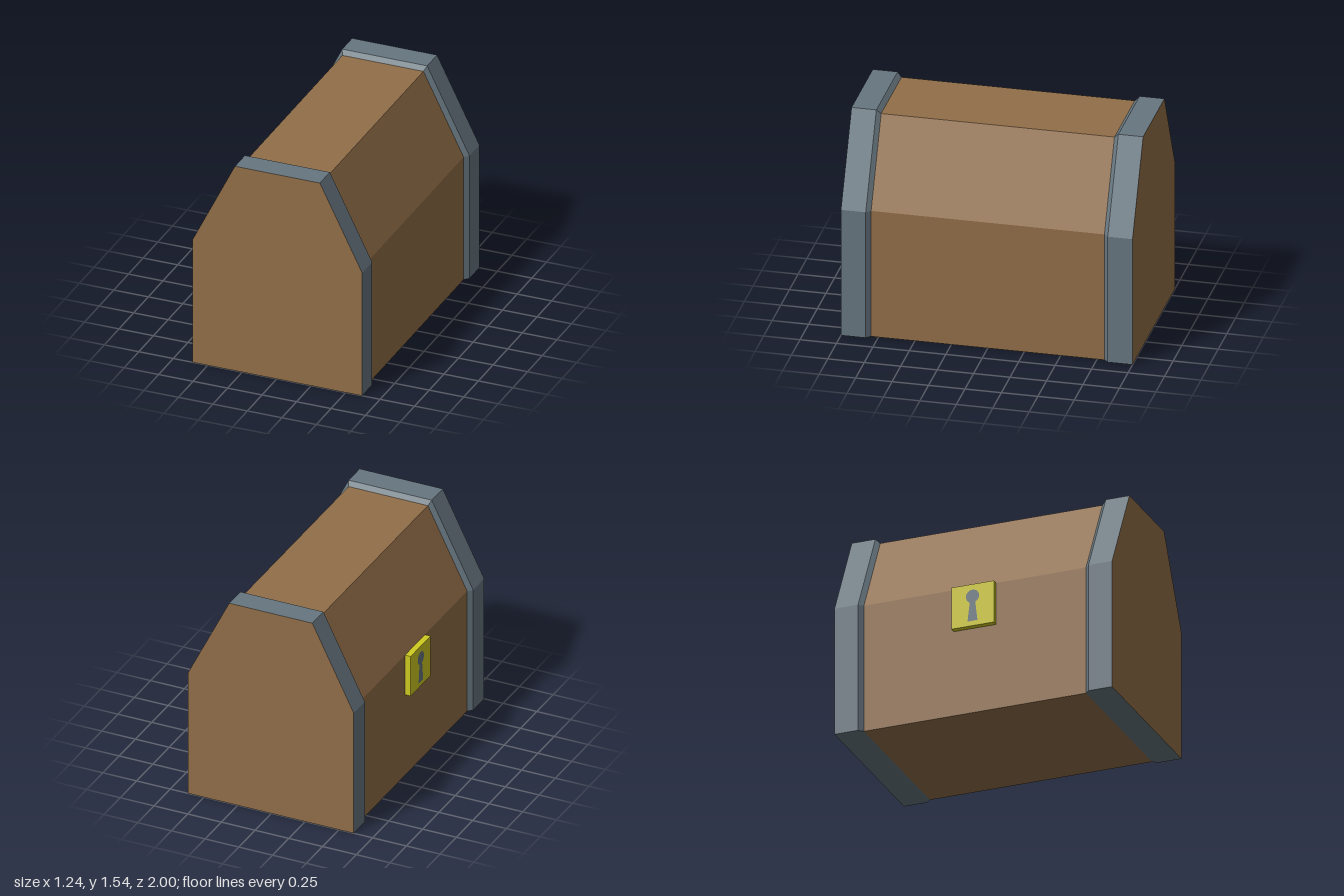
import * as THREE from 'three';

const material = (name, color) => Object.assign(new THREE.MeshStandardMaterial({ color }), { name });

// Chest profiles, counter-clockwise seen from the front
const CX = 0.005;
const profile = (half, topHalf, top) => [
  [CX - half, 0], [CX + half, 0], [CX + half, 0.925],
  [CX + topHalf, top], [CX - topHalf, top], [CX - half, 0.925],
];
const OUTER = profile(0.615, 0.308, 1.54);
const INNER = profile(0.585, 0.294, 1.51);

// Joins [profile, z] sections, given from back to front, with flat faces
function loft(sections) {
  const pos = [];
  for (let s = 0; s < sections.length - 1; s++) {
    const [p, z0] = sections[s], [q, z1] = sections[s + 1];
    for (let i = 0; i < p.length; i++) {
      const j = (i + 1) % p.length;
      const a = [...p[i], z0], b = [...p[j], z0], c = [...q[j], z1], d = [...q[i], z1];
      pos.push(...a, ...b, ...c, ...a, ...c, ...d);
    }
  }
  const geo = new THREE.BufferGeometry();
  geo.setAttribute('position', new THREE.Float32BufferAttribute(pos, 3));
  geo.computeVertexNormals();
  return geo;
}

export function createModel() {
  const wood = material('wood', 0x916e48);
  const iron = material('iron', 0x67767f);
  const brass = material('brass', 0xcfca20);
  const model = new THREE.Group();
  model.name = 'chest';
  const add = (name, geo, mat) => {
    const mesh = new THREE.Mesh(geo, mat);
    mesh.name = name;
    model.add(mesh);
    return mesh;
  };

  // Wooden body between the bands
  add('body', loft([[INNER, -0.8], [INNER, 0.8]]), wood);

  // Bevelled iron bands
  add('frontBand', loft([[INNER, 0.8], [OUTER, 0.83], [OUTER, 1]]), iron);
  add('backBand', loft([[OUTER, -1], [OUTER, -0.83], [INNER, -0.8]]), iron);

  // Wooden end panels
  const endShape = new THREE.Shape(OUTER.map(([x, y]) => new THREE.Vector2(x, y)));
  add('frontPanel', new THREE.ShapeGeometry(endShape), wood).position.z = 1;
  const back = add('backPanel', new THREE.ShapeGeometry(endShape), wood);
  back.rotation.y = Math.PI;
  back.position.set(2 * CX, 0, -1);

  // Lock plate on the side
  add('lockPlate', new THREE.BoxGeometry(0.05, 0.305, 0.305), brass).position.set(-0.597, 0.7725, 0);

  // Keyhole: round top with a flared slot
  const hole = new THREE.Shape();
  hole.moveTo(-0.036, 0.655);
  hole.lineTo(0.036, 0.655);
  hole.lineTo(0.02, 0.792);
  hole.absarc(0, 0.836, 0.048, -1.14, Math.PI + 1.14, false);
  hole.closePath();
  const keyhole = add('keyhole', new THREE.ShapeGeometry(hole, 8), iron);
  keyhole.rotation.y = -Math.PI / 2;
  keyhole.position.x = -0.624;

  return model;
}
